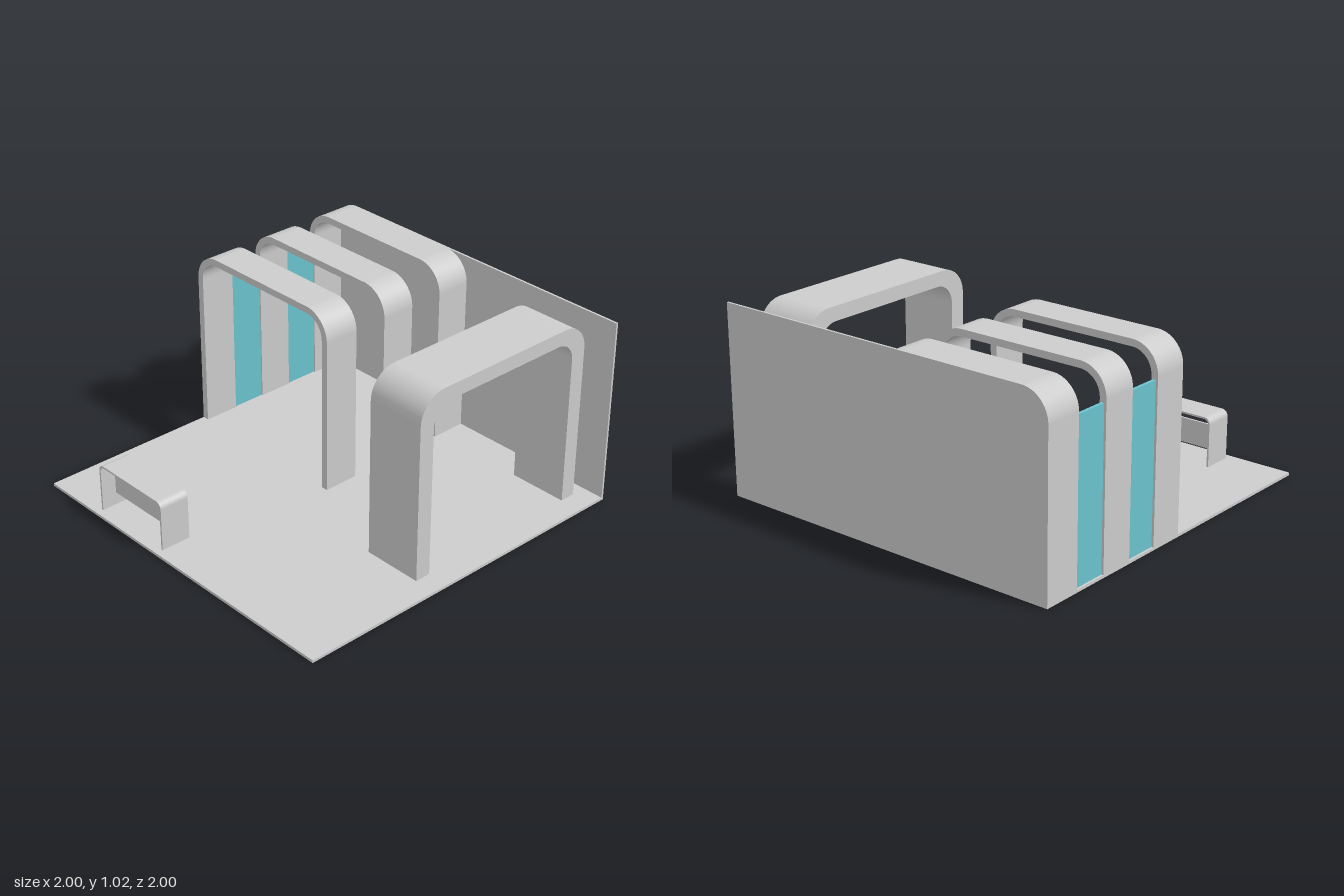
import * as THREE from 'three';

const FLOOR = 0.015, TOP = 1.02;

export function createModel() {
  const model = new THREE.Group();
  const grey = new THREE.MeshStandardMaterial({ color: 0xcccccc });
  grey.name = 'light grey';
  const teal = new THREE.MeshStandardMaterial({ color: 0x6bc3cd });
  teal.name = 'teal glass';

  const add = (name, geometry, material) => {
    const mesh = new THREE.Mesh(geometry, material);
    mesh.name = name;
    model.add(mesh);
    return mesh;
  };

  // Box given by its minimum and maximum corners
  const box = (name, [x0, y0, z0], [x1, y1, z1], material) => {
    const mesh = add(name, new THREE.BoxGeometry(x1 - x0, y1 - y0, z1 - z0), material);
    mesh.position.set((x0 + x1) / 2, (y0 + y1) / 2, (z0 + z1) / 2);
    return mesh;
  };

  const extrude = (shape, depth) =>
    new THREE.ExtrudeGeometry(shape, { depth, bevelEnabled: false, curveSegments: 12 });

  // Upside-down U with rounded shoulders, standing on y = 0 and centred on x = 0
  const archGeometry = (width, height, leg, beam, outerR, innerR, depth) => {
    const w = width / 2, i = w - leg, h = height - beam;
    const s = new THREE.Shape();
    s.moveTo(w, 0);
    s.lineTo(w, height - outerR);
    s.absarc(w - outerR, height - outerR, outerR, 0, Math.PI / 2, false);
    s.lineTo(outerR - w, height);
    s.absarc(outerR - w, height - outerR, outerR, Math.PI / 2, Math.PI, false);
    s.lineTo(-w, 0);
    s.lineTo(-i, 0);
    s.lineTo(-i, h - innerR);
    s.absarc(innerR - i, h - innerR, innerR, Math.PI, Math.PI / 2, true);
    s.lineTo(i - innerR, h);
    s.absarc(i - innerR, h - innerR, innerR, Math.PI / 2, 0, true);
    s.lineTo(i, 0);
    s.closePath();
    return extrude(s, depth);
  };

  // Floor slab
  box('floor', [-1, 0, -1], [1, FLOOR, 1], grey);

  // Back wall, rounded at one upper corner only
  const r = 0.15;
  const wall = new THREE.Shape();
  wall.moveTo(-1, FLOOR);
  wall.lineTo(1, FLOOR);
  wall.lineTo(1, TOP);
  wall.lineTo(-1 + r, TOP);
  wall.absarc(-1 + r, TOP - r, r, Math.PI / 2, Math.PI, false);
  wall.closePath();
  add('backWall', extrude(wall, 0.012), grey).position.z = -1;

  // Row of three thin arches
  [[-0.988, -0.787], [-0.59, -0.393], [-0.2, 0]].forEach(([z0, z1], n) => {
    const geometry = archGeometry(1, TOP - FLOOR, 0.037, 0.037, r, r - 0.037, z1 - z0);
    add('rowArch' + (n + 1), geometry, grey).position.set(-0.5, FLOOR, z0);
  });

  // Double glass panes closing the gaps between the arches
  [[-0.787, -0.59], [-0.393, -0.2]].forEach(([z0, z1], n) => {
    box('glassPane' + (n + 1), [-0.988, FLOOR, z0], [-0.97, 0.85, z1], teal);
  });

  // Large arch turned across the row
  const gate = add('gateArch', archGeometry(1.13, TOP - FLOOR, 0.087, 0.077, r, 0.11, 0.33), grey);
  gate.rotation.y = Math.PI / 2;
  gate.position.set(0.55, FLOOR, -0.34);

  // Counter with a modesty panel between its legs
  add('counter', archGeometry(0.495, 0.27, 0.01, 0.01, 0.035, 0.025, 0.167), grey)
    .position.set(-0.388, FLOOR, 0.793);
  box('counterPanel', [-0.626, 0.085, 0.863], [-0.15, 0.22, 0.875], grey);

  return model;
}
